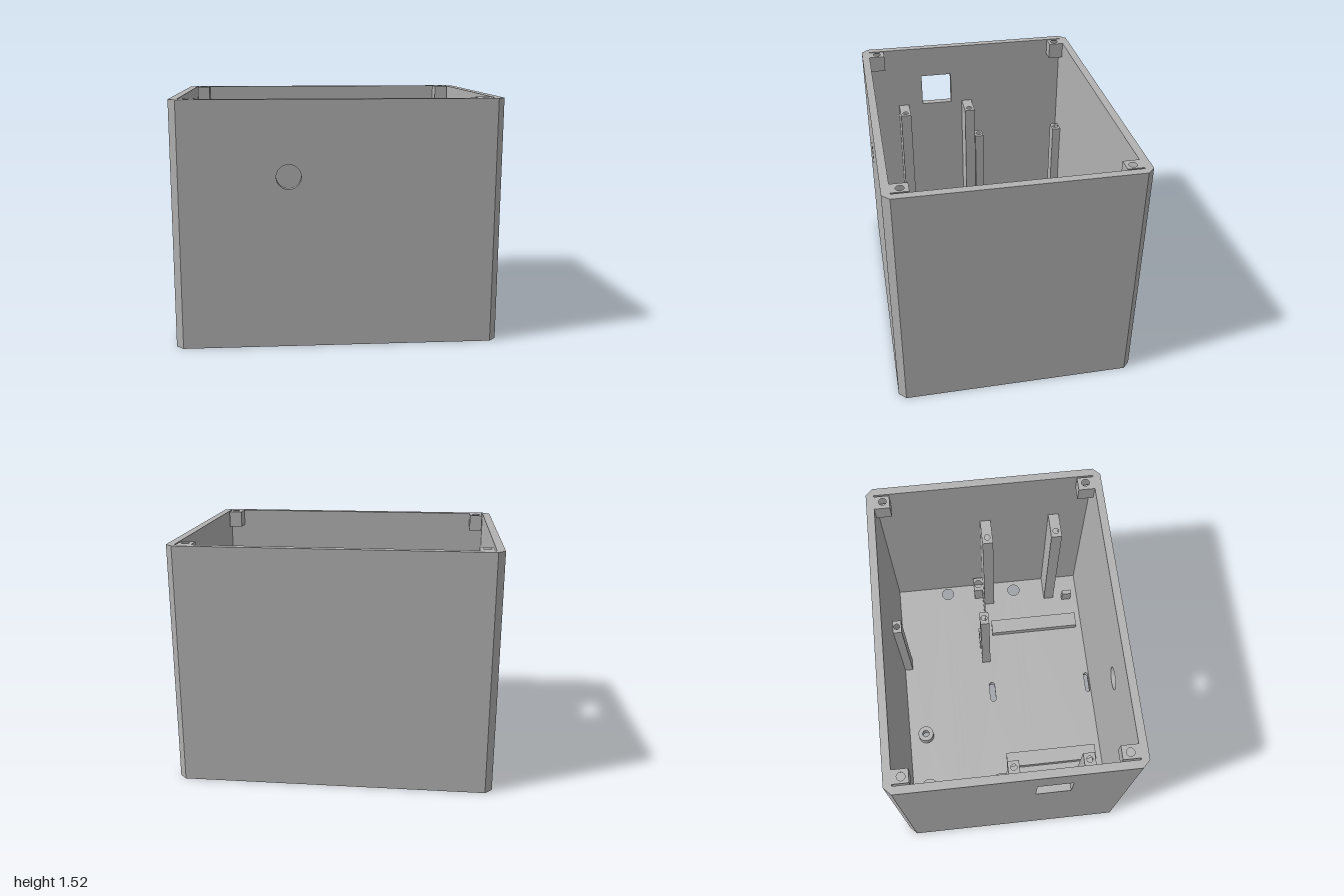
import * as THREE from 'three';

const H = 1.52, FLOOR = 0.05;          // overall height, floor thickness
const X = 1, Z = 0.765, C = 0.045;     // outer half sizes and corner chamfer
const IX = 0.95, IZ = 0.715;           // inner half sizes

const rect = (x0, x1, z0, z1) => [[x0, z0], [x1, z0], [x1, z1], [x0, z1]];

function circle(x, z, r) {
  return new THREE.Path().absarc(x, -z, r, 0, Math.PI * 2, true);
}

// rounded slot running along x
function slot(x, z, halfLength, r) {
  const p = new THREE.Path();
  p.absarc(x + halfLength - r, -z, r, -Math.PI / 2, Math.PI / 2, false);
  p.absarc(x - halfLength + r, -z, r, Math.PI / 2, Math.PI * 1.5, false);
  p.closePath();
  return p;
}

// plan outline (x, z) with holes, raised from y0 to y1
function slab(points, holes, y0, y1) {
  const s = new THREE.Shape(points.map(([x, z]) => new THREE.Vector2(x, -z)));
  s.holes.push(...holes);
  const g = new THREE.ExtrudeGeometry(s, { depth: y1 - y0, bevelEnabled: false, curveSegments: 20 });
  return g.rotateX(-Math.PI / 2).translate(0, y0, 0);
}

export function createModel() {
  const root = new THREE.Group();
  const grey = new THREE.MeshStandardMaterial({ color: 0xb2b2b2 });
  grey.name = 'grey plastic';

  function add(name, geometry, parent = root) {
    const m = new THREE.Mesh(geometry, grey);
    m.name = name;
    parent.add(m);
    return m;
  }
  function box(name, x0, x1, y0, y1, z0, z1) {
    const g = new THREE.BoxGeometry(x1 - x0, y1 - y0, z1 - z0);
    return add(name, g.translate((x0 + x1) / 2, (y0 + y1) / 2, (z0 + z1) / 2));
  }
  // block with a blind screw hole in its top
  function post(name, x0, x1, z0, z1, y0, y1, hx, hz, r, depth) {
    const group = new THREE.Group();
    group.name = name;
    root.add(group);
    const r4 = rect(x0, x1, z0, z1);
    add(name + 'Base', slab(r4, [], y0, y1 - depth), group);
    add(name + 'Top', slab(r4, [circle(hx, hz, r)], y1 - depth, y1), group);
  }

  // floor with mounting holes and cable slots
  const outline = [[-X, -Z + C], [-X + C, -Z], [X - C, -Z], [X, -Z + C],
    [X, Z - C], [X - C, Z], [-X + C, Z], [-X, Z - C]];
  const floorHoles = [
    circle(-0.9, -0.325, 0.046), circle(0.89, -0.325, 0.046),
    circle(-0.875, 0.21, 0.046), circle(0.87, 0.21, 0.046),
    circle(-0.685, -0.59, 0.025), circle(-0.28, -0.59, 0.025),
    circle(0.445, -0.075, 0.03), circle(0.885, -0.075, 0.03),
    slot(0.02, -0.05, 0.078, 0.021), slot(0.02, 0.692, 0.078, 0.016),
  ];
  add('floor', slab(outline, floorHoles, 0, FLOOR));

  // front wall with round opening
  const front = new THREE.Shape([[-IX, FLOOR], [IX, FLOOR], [IX, H], [-IX, H]]
    .map(p => new THREE.Vector2(...p)));
  front.holes.push(new THREE.Path().absarc(-0.3, 1.06, 0.075, 0, Math.PI * 2, true));
  add('frontWall', new THREE.ExtrudeGeometry(front, { depth: Z - IZ, bevelEnabled: false, curveSegments: 24 })
    .translate(0, 0, IZ));
  box('backWall', -IX, IX, FLOOR, H, -Z, -IZ);
  box('leftWall', IX, X, FLOOR, H, -IZ, IZ);

  // right wall with rectangular socket opening
  const side = new THREE.Shape([[-IZ, FLOOR], [IZ, FLOOR], [IZ, H], [-IZ, H]]
    .map(p => new THREE.Vector2(...p)));
  side.holes.push(new THREE.Path([[0.12, 1.07], [0.12, 1.3], [0.34, 1.3], [0.34, 1.07]]
    .map(p => new THREE.Vector2(...p))));
  add('rightWall', new THREE.ExtrudeGeometry(side, { depth: X - IX, bevelEnabled: false })
    .rotateY(-Math.PI / 2).translate(-IX, 0, 0));

  for (const sx of [-1, 1]) {
    for (const sz of [-1, 1]) {
      // chamfered corner columns
      const corner = [[IX, IZ], [X, IZ], [X, Z - C], [X - C, Z], [IX, Z]].map(([x, z]) => [x * sx, z * sz]);
      add('cornerColumn', slab(corner, [], FLOOR, H));

      // lid screw bosses, flush with the rim and slightly clear of the side walls
      const [a, b] = sx > 0 ? [0.85, 0.94] : [-0.94, -0.855];
      const [c, d] = sz > 0 ? [0.61, IZ] : [-IZ, -0.615];
      post('lidBoss', a, b, c, d, H - 0.11, H, sx * 0.9, sz * 0.66, 0.025, 0.09);
    }

    // tall posts along the side walls
    for (const z of [0.003, 0.485]) {
      const [a, b] = sx > 0 ? [0.77, IX] : [-IX, -0.775];
      post('wallPost', a, b, z - 0.037, z + 0.037, FLOOR, 1.07, sx * 0.817, z, 0.02, 0.15);
    }

    // floor rails and small pegs
    const rail = sx * 0.545;
    box('floorRail', rail - 0.054, rail + 0.054, FLOOR, 0.1, 0, 0.67);
    const peg = sx * 0.762;
    box('floorPeg', peg - 0.017, peg + 0.017, FLOOR, 0.15, 0.59, 0.66);
  }

  // board standoffs
  for (const x of [-0.842, 0.315]) {
    for (const z of [-0.688, -0.073]) {
      post('boardStandoff', x - 0.045, x + 0.045, z - 0.03, z + 0.032, FLOOR, 0.83, x, z, 0.02, 0.15);
    }
  }

  // round spacers around the rear floor holes
  for (const x of [-0.685, -0.28]) {
    const ring = new THREE.Shape().absarc(x, 0.59, 0.056, 0, Math.PI * 2, false);
    ring.holes.push(circle(x, -0.59, 0.025));
    add('roundSpacer', new THREE.ExtrudeGeometry(ring, { depth: 0.07, bevelEnabled: false, curveSegments: 20 })
      .rotateX(-Math.PI / 2).translate(0, FLOOR, 0));
  }

  // bracket: two drilled blocks joined by a thin plate
  add('bracketBlock', slab(rect(0.39, 0.503, -0.11, -0.035), [circle(0.445, -0.075, 0.03)], FLOOR, 0.2));
  add('bracketBlock', slab(rect(0.828, 0.937, -0.11, -0.035), [circle(0.885, -0.075, 0.03)], FLOOR, 0.2));
  box('bracketPlate', 0.503, 0.828, FLOOR, 0.2, -0.046, -0.035);

  return root;
}
